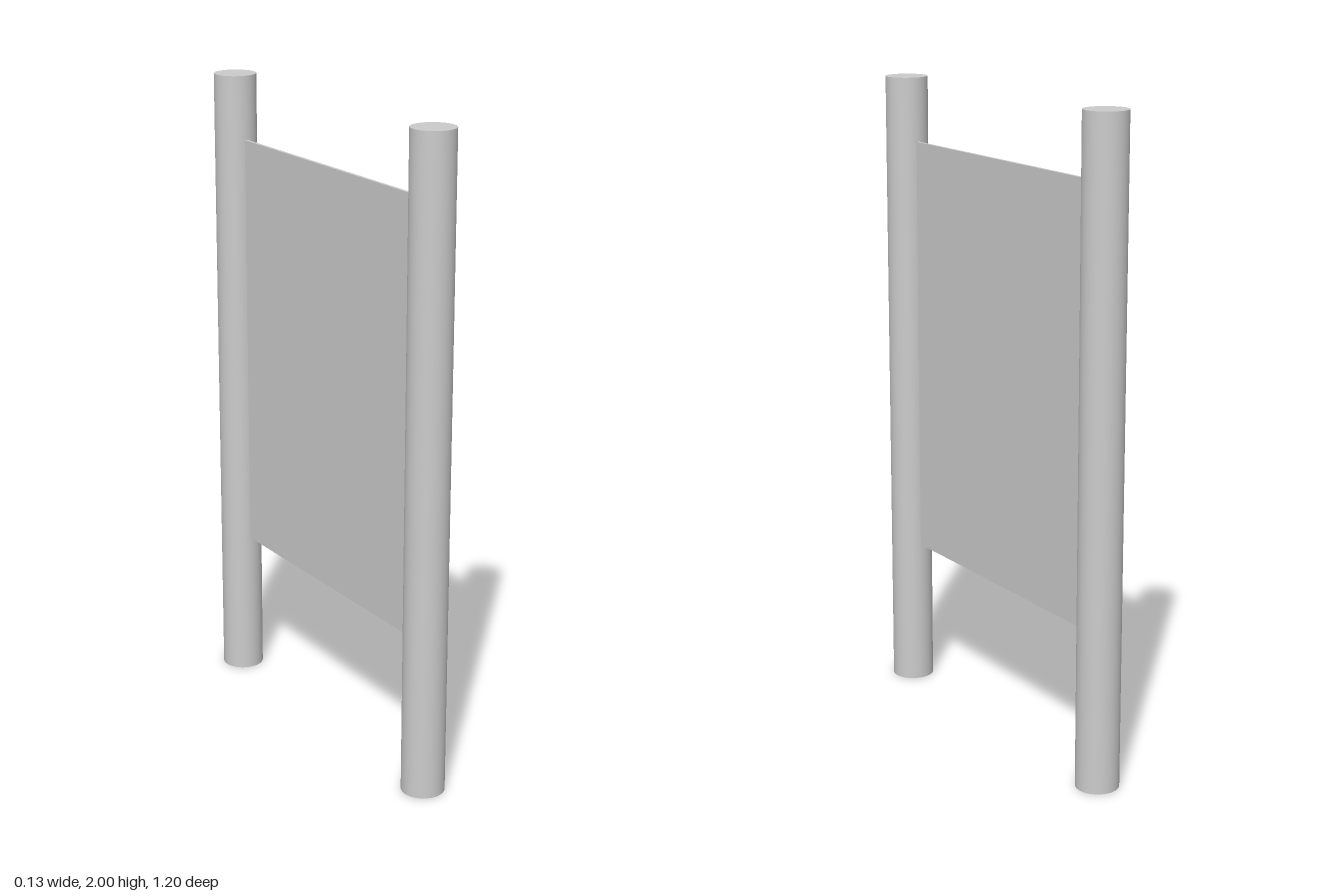
import * as THREE from 'three';

const HEIGHT = 2;
const POST_RADIUS = 0.066;
const POST_Z = 0.533;
const PANEL_BOTTOM = 0.47;
const PANEL_TOP = 1.8;
const PANEL_THICKNESS = 0.01;

export function createModel() {
  const group = new THREE.Group();
  group.name = 'signPanelOnPosts';
  const material = new THREE.MeshStandardMaterial({ color: 0xcccccc });

  // Two round posts, one at each end
  const postGeometry = new THREE.CylinderGeometry(POST_RADIUS, POST_RADIUS, HEIGHT, 48);
  for (const [name, side] of [['frontPost', 1], ['backPost', -1]]) {
    const post = new THREE.Mesh(postGeometry, material);
    post.name = name;
    post.position.set(0, HEIGHT / 2, side * POST_Z);
    group.add(post);
  }

  // Thin panel spanning the gap, its ends just touching the posts
  const panel = new THREE.Mesh(
    new THREE.BoxGeometry(PANEL_THICKNESS, PANEL_TOP - PANEL_BOTTOM, 2 * (POST_Z - POST_RADIUS) + 0.002),
    material
  );
  panel.name = 'panel';
  panel.position.y = (PANEL_TOP + PANEL_BOTTOM) / 2;
  group.add(panel);

  return group;
}
